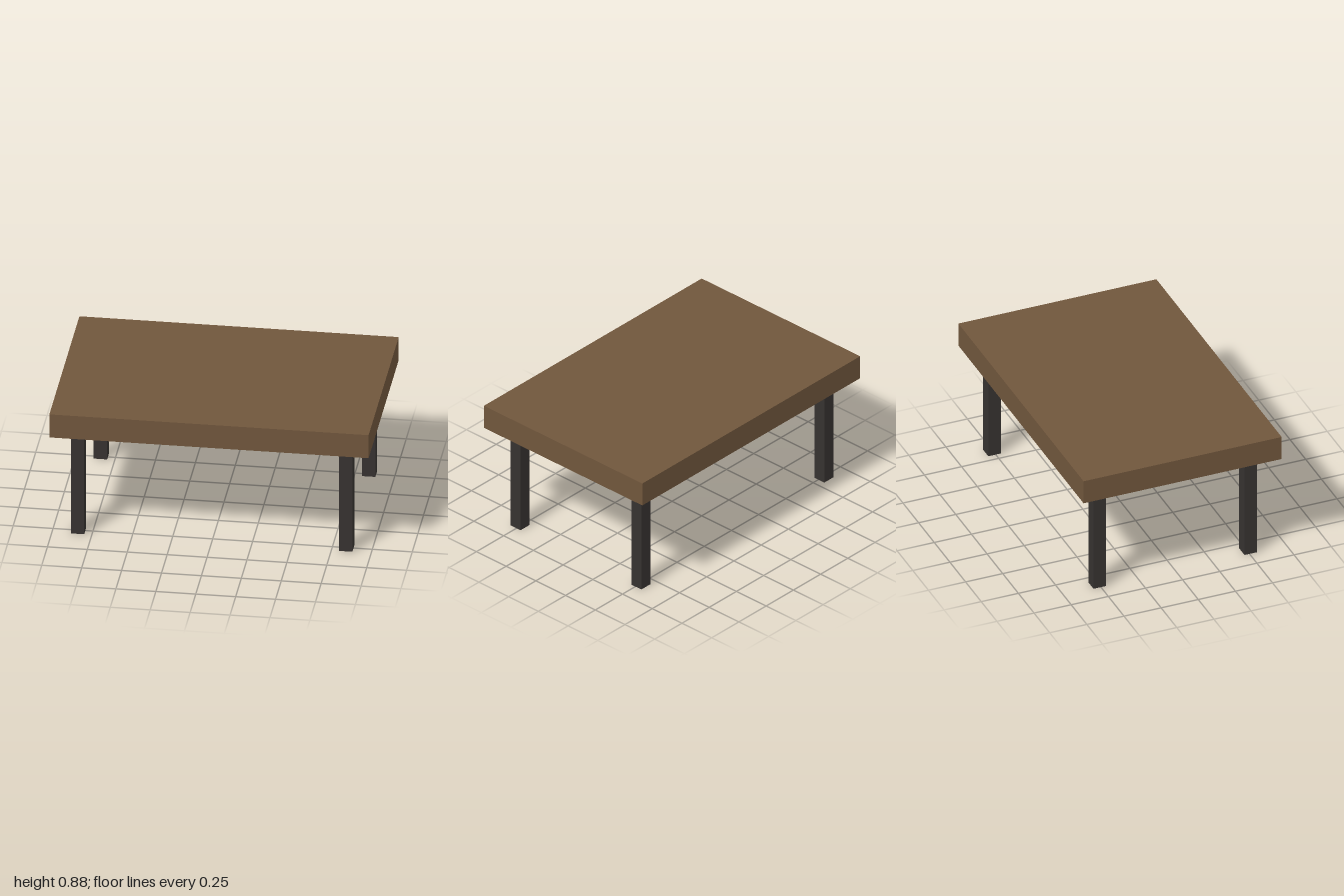
import * as THREE from 'three';

const TOP_Y = 0.883, LEG_H = 0.722, LEG_W = 0.084;

export function createModel() {
  const model = new THREE.Group();
  model.name = 'table';
  const wood = new THREE.MeshStandardMaterial({ color: 0x70563c });
  const dark = new THREE.MeshStandardMaterial({ color: 0x363230 });

  // Thick slab top
  const thickness = TOP_Y - LEG_H;
  const top = new THREE.Mesh(new THREE.BoxGeometry(2, thickness, 1.333), wood);
  top.name = 'tableTop';
  top.position.y = LEG_H + thickness / 2;
  model.add(top);

  // Four square legs, set in from the corners
  const legGeometry = new THREE.BoxGeometry(LEG_W, LEG_H, LEG_W);
  for (const [zName, z] of [['front', 1], ['back', -1]]) {
    for (const [xName, x] of [['Left', 1], ['Right', -1]]) {
      const leg = new THREE.Mesh(legGeometry, dark);
      leg.name = `${zName}${xName}Leg`;
      leg.position.set(x * 0.84, LEG_H / 2, z * 0.508);
      model.add(leg);
    }
  }
  return model;
}
